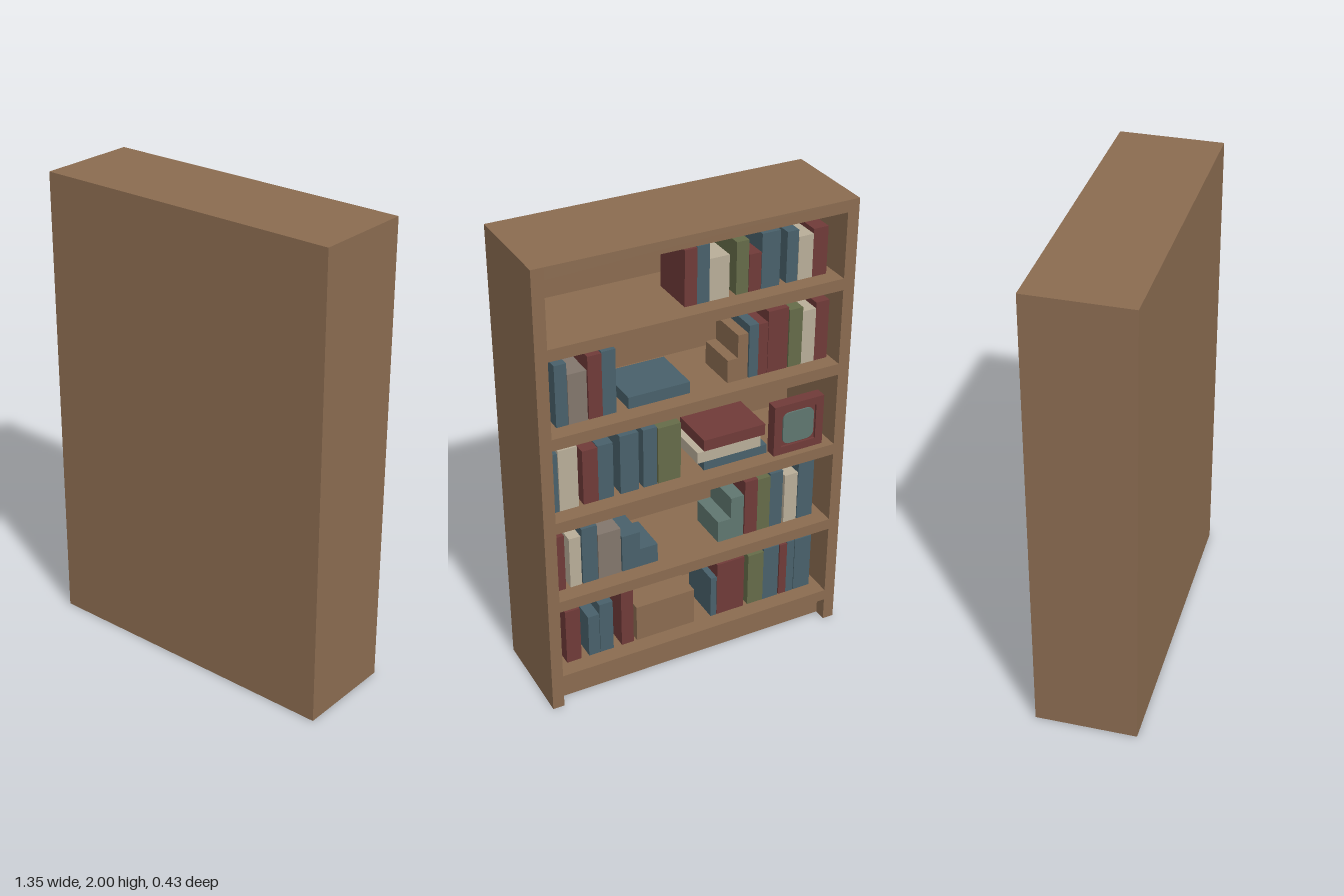
import * as THREE from 'three';

const W = 1.35, H = 2, D = 0.43, T = 0.05;
const colours = {
  wood: 0x8a6b50, red: 0x6f3a38, slate: 0x48606a, cream: 0xb8ad98,
  olive: 0x656b48, stone: 0x82766c, sage: 0x5f766f,
};
const mats = {};
for (const [name, hex] of Object.entries(colours)) {
  mats[name] = new THREE.MeshStandardMaterial({ color: hex });
  mats[name].name = name;
}

// Box given by its minimum corner and its size
function box(parent, name, mat, x, y, z, w, h, d) {
  const m = new THREE.Mesh(new THREE.BoxGeometry(w, h, d), mats[mat]);
  m.position.set(x + w / 2, y + h / 2, z + d / 2);
  m.name = name;
  parent.add(m);
}

// Item on a shelf: a = distance from the +x side, set back a little from the open face (-z)
function item(parent, name, mat, a, w, y, h, d = 0.2) {
  box(parent, name, mat, W / 2 - a - w, y, -D / 2 + 0.07, w, h, d);
}

// Top surface of a shelf, counted from the top one
const floorY = (i) => 1.672 - i * 0.379;

// Usual height of a standing book by colour
const bookHeight = { red: 0.26, slate: 0.265, cream: 0.235, olive: 0.255, stone: 0.215 };

// A run of equally thick books from a to b; scale changes the usual height
function run(parent, i, a, b, names, scale = 1) {
  const list = names.split(' '), w = (b - a) / list.length;
  list.forEach((c, k) => item(parent, 'book', c, a + k * w, w, floorY(i), bookHeight[c] * scale));
}

function addBooks(root) {
  const row = (i) => {
    const g = new THREE.Group();
    g.name = 'bookRow' + (i + 1);
    root.add(g);
    return (...args) => run(g, i, ...args);
  };

  const first = row(0);
  first(0.64, 0.745, 'red slate', 0.9);
  first(0.745, 0.83, 'cream', 0.75);
  first(0.86, 0.913, 'olive', 0.86);
  first(0.915, 0.968, 'red', 0.6);
  first(0.97, 1.05, 'slate', 0.87);
  first(1.08, 1.13, 'slate', 0.81);
  first(1.132, 1.262, 'cream red', 0.78);

  const second = row(1);
  second(0.1, 0.15, 'slate');
  second(0.152, 0.23, 'stone');
  second(0.235, 0.35, 'red slate', 1.04);
  second(0.925, 1.008, 'slate red', 0.87);
  second(1.01, 1.1, 'red', 1.04);
  second(1.105, 1.285, 'olive cream red');

  const third = row(2);
  third(0.06, 0.097, 'slate');
  third(0.1, 0.18, 'cream', 1.17);
  third(0.2, 0.33, 'red slate', 0.94);
  third(0.36, 0.44, 'slate');
  third(0.46, 0.52, 'slate');
  third(0.525, 0.625, 'olive');

  const fourth = row(3);
  fourth(0.055, 0.11, 'red');
  fourth(0.13, 0.18, 'cream');
  fourth(0.185, 0.252, 'slate');
  fourth(0.255, 0.355, 'stone');
  fourth(0.925, 1.105, 'red olive slate');
  fourth(1.115, 1.177, 'cream');
  fourth(1.18, 1.255, 'slate', 1.04);

  const fifth = row(4);
  fifth(0.1, 0.165, 'red');
  fifth(0.2, 0.25, 'slate', 0.75);
  fifth(0.252, 0.312, 'slate', 0.92);
  fifth(0.35, 0.405, 'red', 1.04);
  fifth(0.77, 0.798, 'slate', 0.75);
  fifth(0.8, 0.93, 'red red');
  fifth(0.95, 1.1, 'olive slate');
  fifth(1.105, 1.177, 'red slate');
  fifth(1.18, 1.26, 'slate');
}

// Stepped bookend: low foot on one side, upright on the other
function bookend(parent, mat, a, w, y, h, footOnLeft) {
  const half = w / 2, foot = footOnLeft ? a : a + half;
  const g = new THREE.Group();
  g.name = 'bookend';
  item(g, 'foot', mat, foot, half, y, h / 2, 0.18);
  item(g, 'upright', mat, footOnLeft ? a + half : a, half, y, h, 0.18);
  parent.add(g);
}

// Picture frame with a thin round-cornered plate facing the open side
function pictureFrame(parent, a, y) {
  const g = new THREE.Group();
  g.name = 'pictureFrame';
  const s = 0.23, t = 0.035;
  box(g, 'frameBack', 'red', -s / 2, 0, 0.01, s, s, 0.04);
  for (const e of [0, s - t]) {
    box(g, 'frameRail', 'red', -s / 2, e, 0, s, t, 0.01);
    box(g, 'frameStile', 'red', -s / 2 + e, t, 0, t, s - 2 * t, 0.01);
  }
  const p = 0.072, r = 0.03, shape = new THREE.Shape();
  for (let k = 0; k < 4; k++) {
    const q = k * Math.PI / 2, sx = k === 0 || k === 3 ? 1 : -1, sy = k < 2 ? 1 : -1;
    shape.absarc(sx * (p - r), sy * (p - r), r, q, q + Math.PI / 2);
  }
  const plate = new THREE.Mesh(
    new THREE.ExtrudeGeometry(shape, { depth: 0.008, bevelEnabled: false, curveSegments: 4 }), mats.sage);
  plate.position.set(0, s / 2, 0.003);
  plate.name = 'framePicture';
  g.add(plate);
  g.position.set(W / 2 - a - s / 2, y, -D / 2 + 0.03);
  parent.add(g);
}

export function createModel() {
  const root = new THREE.Group();
  root.name = 'bookcase';

  // Carcass: open towards -z, closed by a full panel at +z
  const carcass = new THREE.Group();
  carcass.name = 'carcass';
  root.add(carcass);
  const inner = W - 2 * T;
  for (const x of [-W / 2, W / 2 - T]) box(carcass, 'sidePanel', 'wood', x, 0, -D / 2, T, H, D);
  box(carcass, 'topPanel', 'wood', -inner / 2, H - T, -D / 2, inner, T, D);
  box(carcass, 'rearPanel', 'wood', -inner / 2, 0, D / 2 - T, inner, H - T, T);
  for (let i = 0; i < 5; i++) {
    box(carcass, 'shelf', 'wood', -inner / 2, floorY(i) - T, -D / 2, inner, T, D - T);
  }
  box(carcass, 'plinth', 'wood', -inner / 2, 0, -D / 2 + 0.055, inner, floorY(4) - T, D - T - 0.055);

  addBooks(root);

  // Lying books, bookends, frame and storage box
  const extras = new THREE.Group();
  extras.name = 'shelfItems';
  root.add(extras);
  item(extras, 'lyingBook', 'slate', 0.4, 0.265, floorY(1), 0.05, 0.225);
  item(extras, 'lyingBook', 'slate', 0.73, 0.29, floorY(2), 0.04);
  item(extras, 'lyingBook', 'cream', 0.7, 0.29, floorY(2) + 0.04, 0.05);
  item(extras, 'lyingBook', 'red', 0.73, 0.28, floorY(2) + 0.09, 0.05, 0.21);
  bookend(extras, 'wood', 0.83, 0.09, floorY(1), 0.2, true);
  bookend(extras, 'slate', 0.36, 0.16, floorY(3), 0.17, false);
  bookend(extras, 'sage', 0.8, 0.12, floorY(3), 0.2, true);
  pictureFrame(extras, 1.03, floorY(2));
  item(extras, 'storageBox', 'wood', 0.42, 0.27, floorY(4), 0.17);
  return root;
}
